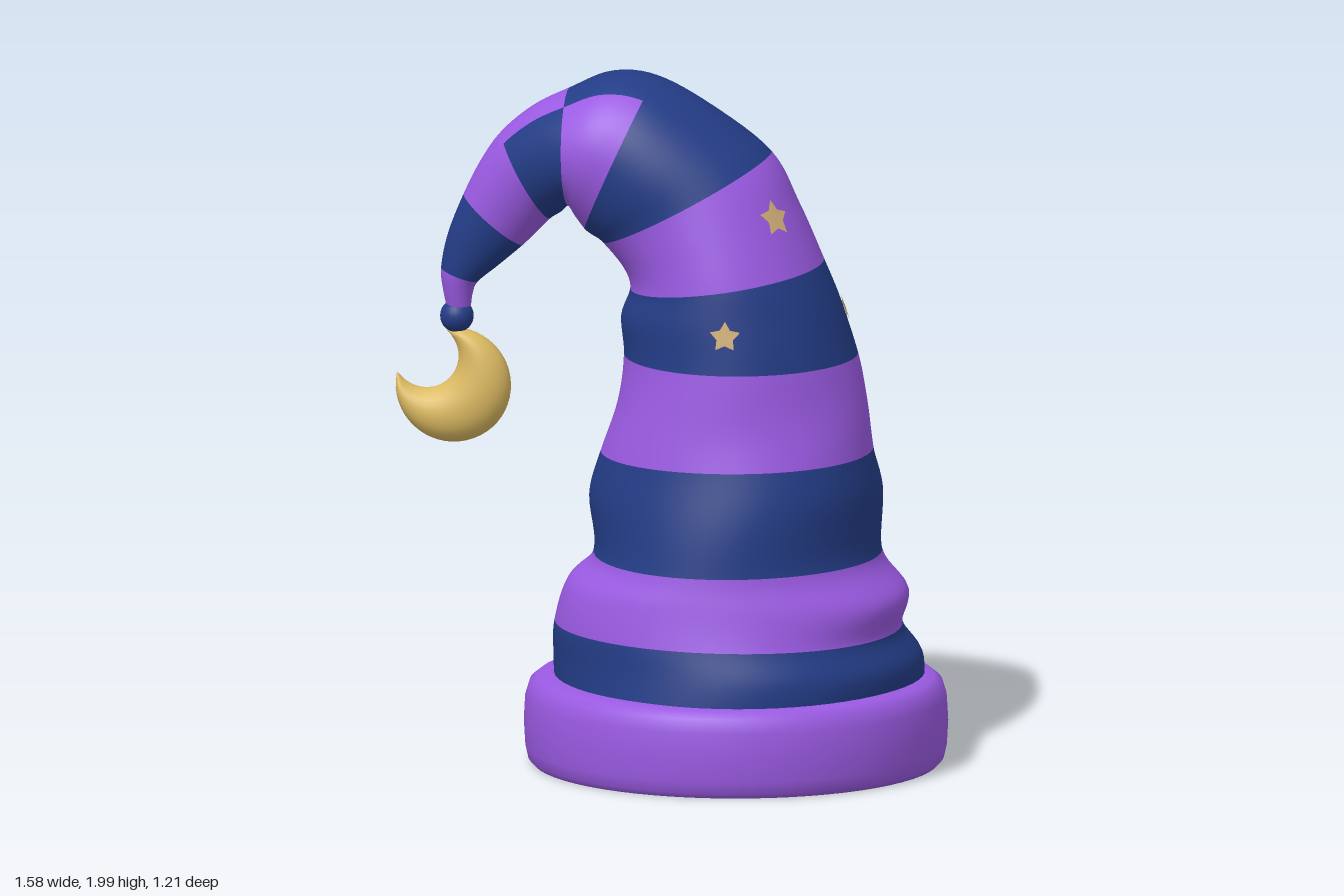
import * as THREE from 'three';

const mat = (name, color) => Object.assign(new THREE.MeshStandardMaterial({ color }), { name });

// Smooth skin through oval sections [innerX, innerY, outerX, outerY, halfDepth].
// pick(key, angle) chooses the material slot of each face.
function skin(keys, sides, steps, pick, wrinkle = () => 0) {
  const pos = [], slots = [[], []];
  const spline = (i, t, k) => {
    const at = n => keys[Math.min(Math.max(n, 0), keys.length - 1)][k];
    const [a, b, c, d] = [at(i - 1), at(i), at(i + 1), at(i + 2)];
    return b + 0.5 * t * (c - a + t * (2 * a - 5 * b + 4 * c - d + t * (3 * (b - c) + d - a)));
  };
  const rows = (keys.length - 1) * steps;
  for (let r = 0; r <= rows; r++) {
    const i = Math.min(Math.floor(r / steps), keys.length - 2), t = r / steps - i;
    const [lx, ly, rx, ry, hz] = [0, 1, 2, 3, 4].map(k => spline(i, t, k));
    for (let j = 0; j < sides; j++) {
      const a = j / sides * Math.PI * 2;
      const s = 1 + wrinkle(a, (ly + ry) / 2);
      const c = Math.cos(a) * s / 2;
      pos.push((lx + rx) / 2 + c * (rx - lx), (ly + ry) / 2 + c * (ry - ly), Math.sin(a) * s * hz);
    }
  }
  for (let r = 0; r < rows; r++) {
    for (let j = 0; j < sides; j++) {
      const a = r * sides + j, b = a + sides;
      const c = r * sides + (j + 1) % sides, d = c + sides;
      const mid = (j + 0.5) / sides * Math.PI * 2;
      slots[pick(Math.floor(r / steps), mid > Math.PI ? mid - Math.PI * 2 : mid)].push(a, b, c, b, d, c);
    }
  }
  const g = new THREE.BufferGeometry();
  g.setAttribute('position', new THREE.Float32BufferAttribute(pos, 3));
  g.setIndex([...slots[0], ...slots[1]]);
  g.addGroup(0, slots[0].length, 0);
  g.addGroup(slots[0].length, slots[1].length, 1);
  g.computeVertexNormals();
  return g;
}

export function createModel() {
  const group = new THREE.Group();
  const blue = mat('navy blue', 0x233c86);
  const purple = mat('purple', 0x9a5ae2);
  const gold = mat('gold', 0xdcba62);
  const tan = mat('pale gold', 0xd2b07a);
  tan.side = THREE.DoubleSide;
  const add = (name, geometry, material, x = 0, y = 0, z = 0) => {
    const m = new THREE.Mesh(geometry, material);
    m.name = name;
    m.position.set(x, y, z);
    group.add(m);
    return m;
  };

  // Striped cone bending over to the tip
  const keys = [
    [-0.33, 0.22, 0.72, 0.22, 0.54],
    [-0.325, 0.33, 0.725, 0.32, 0.53],
    [-0.32, 0.42, 0.67, 0.41, 0.51],
    [-0.29, 0.54, 0.68, 0.51, 0.485],
    [-0.22, 0.62, 0.60, 0.62, 0.46],
    [-0.225, 0.78, 0.61, 0.8, 0.43],
    [-0.19, 0.91, 0.585, 0.92, 0.405],
    [-0.15, 1.05, 0.56, 1.06, 0.375],
    [-0.13, 1.19, 0.535, 1.19, 0.355],
    [-0.135, 1.3, 0.49, 1.34, 0.34],
    [-0.11, 1.38, 0.44, 1.46, 0.325],
    [-0.13, 1.44, 0.37, 1.62, 0.30],
    [-0.19, 1.51, 0.29, 1.77, 0.275],
    [-0.22, 1.53, 0.12, 1.9, 0.265],
    [-0.24, 1.545, -0.04, 1.985, 0.25],
    [-0.265, 1.58, -0.17, 1.995, 0.235],
    [-0.285, 1.61, -0.29, 1.945, 0.205],
    [-0.31, 1.59, -0.39, 1.895, 0.17],
    [-0.34, 1.57, -0.48, 1.82, 0.135],
    [-0.38, 1.53, -0.54, 1.735, 0.11],
    [-0.42, 1.49, -0.59, 1.635, 0.09],
    [-0.49, 1.43, -0.635, 1.52, 0.07],
    [-0.55, 1.38, -0.655, 1.42, 0.055],
    [-0.565, 1.345, -0.65, 1.36, 0.045],
    [-0.57, 1.31, -0.64, 1.31, 0.036],
  ];
  // Stripes alternate every two sections; along the crown two of them swap
  const stripe = (key, a) => {
    const band = Math.floor(key / 2);
    const swapped = (band === 7 || band === 8) && Math.abs(a) < 0.63;
    return (band + (swapped ? 1 : 0)) % 2;
  };
  const folds = (a, y) => 0.013 * Math.sin(3 * a + 13 * y) * Math.max(0, Math.min(1, (1.5 - y) * 2));
  const cone = add('stripedCone', skin(keys, 60, 6, stripe, folds), [blue, purple]);

  // Rolled brim, with the lining inside it
  const lathe = pts => new THREE.LatheGeometry(pts.map(p => new THREE.Vector2(...p)), 64);
  add('brim', lathe([[0.54, 0.03], [0.555, 0.01], [0.578, 0.01], [0.592, 0.025], [0.6, 0.06], [0.604, 0.13],
    [0.6, 0.2], [0.588, 0.24], [0.565, 0.258], [0.53, 0.265], [0.48, 0.265]]), purple, 0.19);
  add('liningWall', lathe([[0.505, 0.24], [0.53, 0.12], [0.545, 0.02]]), blue, 0.19);
  add('liningTop', new THREE.CircleGeometry(0.51, 64).rotateX(Math.PI / 2), blue, 0.19, 0.24);

  // Bead and crescent moon hanging from the tip
  add('tipBead', new THREE.SphereGeometry(0.048, 24, 16), blue, -0.61, 1.28);
  const moon = [];
  for (let i = 0; i <= 20; i++) {
    const t = i / 20;
    const point = (x, y, r, from, to) => {
      const a = THREE.MathUtils.degToRad(from + (to - from) * t);
      return [x + r * Math.cos(a), y + r * Math.sin(a)];
    };
    moon.push([...point(-0.70, 1.165, 0.095, 213, 410), ...point(-0.62, 1.08, 0.165, 170, 455),
      0.07 * Math.sqrt(Math.max(0, Math.sin(Math.PI * t))) + 0.001]);
  }
  add('moon', skin(moon, 28, 2, () => 0), [gold, gold]);

  // Thin stars draped onto the cone: [x, y, z, outward direction, radius]
  const ray = new THREE.Raycaster();
  cone.updateMatrixWorld();
  const stars = [
    [0.2, 1.3, 0.34, [0, 0.1, 1], 0.045],
    [0.33, 1.62, 0.18, [0.7, 0.4, 0.6], 0.055],
    [0.32, 1.6, -0.18, [0.7, 0.4, -0.6], 0.07],
    [0.49, 1.31, -0.11, [0.9, 0.15, -0.4], 0.04],
  ];
  for (const [x, y, z, dir, radius] of stars) {
    const n = new THREE.Vector3(...dir).normalize();
    const u = new THREE.Vector3(0, 1, 0).cross(n).normalize();
    const v = n.clone().cross(u);
    const pos = [], index = [];
    for (let i = 0; i <= 10; i++) {
      const r = i === 10 ? 0 : radius * (i % 2 ? 0.55 : 1);
      const a = Math.PI / 2 + i * Math.PI / 5;
      const p = new THREE.Vector3(x, y, z).addScaledVector(u, r * Math.cos(a)).addScaledVector(v, r * Math.sin(a));
      ray.set(p.clone().addScaledVector(n, 0.3), n.clone().negate());
      const hit = ray.intersectObject(cone)[0];
      pos.push(...(hit ? hit.point : p).clone().addScaledVector(n, 0.006).toArray());
      if (i < 10) index.push(10, i, (i + 1) % 10);
    }
    const g = new THREE.BufferGeometry();
    g.setAttribute('position', new THREE.Float32BufferAttribute(pos, 3));
    g.setIndex(index);
    g.computeVertexNormals();
    add('star', g, tan);
  }
  return group;
}
